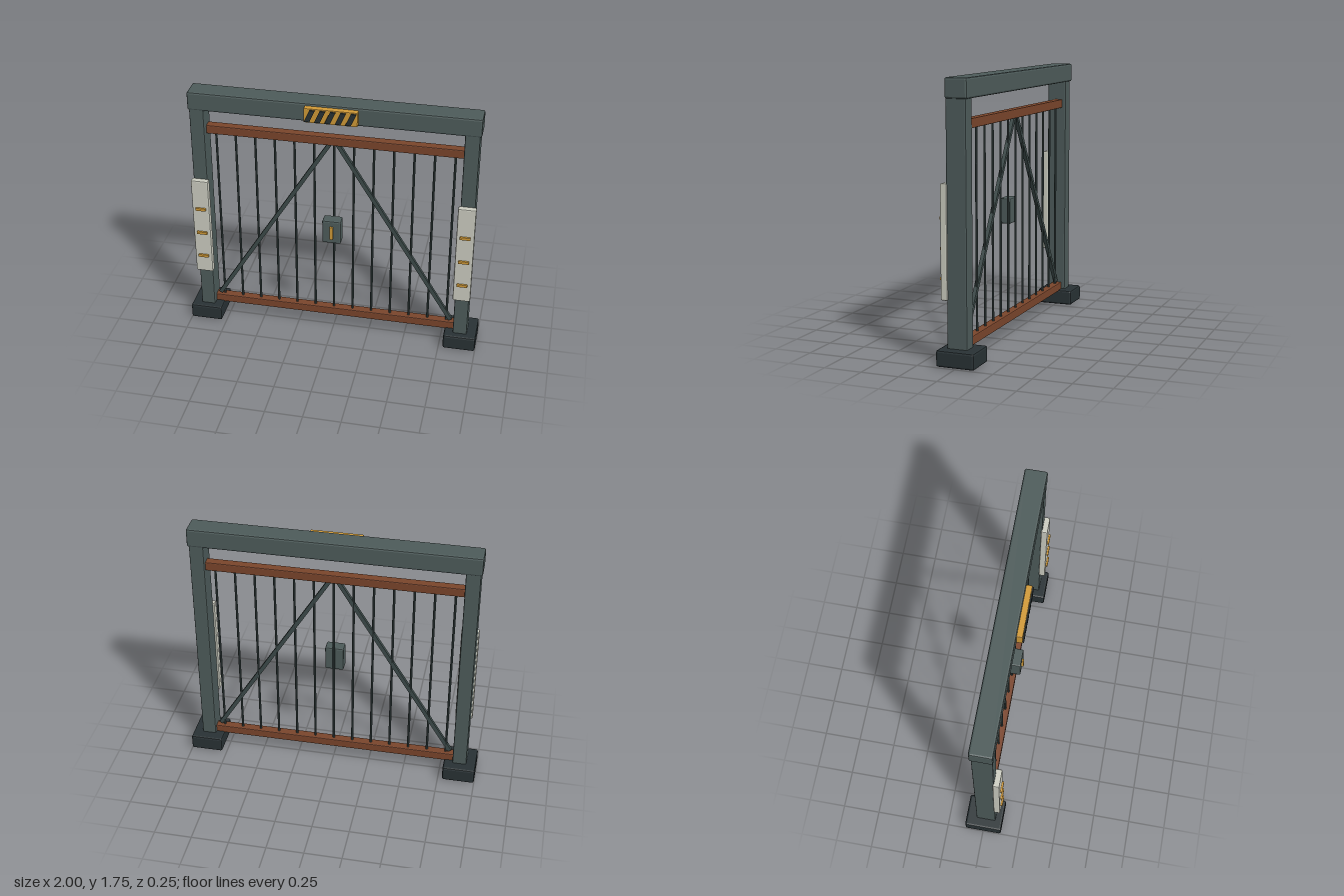
import * as THREE from 'three';
import { RoundedBoxGeometry } from 'three/addons/geometries/RoundedBoxGeometry.js';

const paint = (color) => new THREE.MeshStandardMaterial({ color, flatShading: true });

export function createModel() {
  const model = new THREE.Group();
  const frame = paint(0x4d5b5a);
  const dark = paint(0x283134);
  const bars = paint(0x3c4a49);
  const wood = paint(0x7a452b);
  const cream = paint(0xcbccc0);
  const amber = paint(0xd19a36);

  // Chamfered block given by its extents on each axis
  function block(name, mat, [x0, x1], [y0, y1], [z0, z1], bevel, parent = model) {
    const geo = new RoundedBoxGeometry(x1 - x0, y1 - y0, z1 - z0, 1, bevel);
    const mesh = new THREE.Mesh(geo, mat);
    mesh.position.set((x0 + x1) / 2, (y0 + y1) / 2, (z0 + z1) / 2);
    mesh.name = name;
    parent.add(mesh);
    return mesh;
  }

  // Top beam
  block('topBeam', frame, [-0.945, 0.945], [1.626, 1.752], [-0.067, 0.08], 0.012);

  // Posts with feet, front panels and marker ticks
  for (const side of [1, -1]) {
    const group = new THREE.Group();
    group.name = side > 0 ? 'leftPost' : 'rightPost';
    model.add(group);
    const span = (a, b) => (side > 0 ? [a, b] : [-b, -a]);
    block('post', frame, span(0.84, 0.935), [0, 1.64], [-0.056, 0.077], 0.008, group);
    block('foot', dark, span(0.78, 1), [0.004, 0.108], [-0.126, 0.126], 0.013, group);
    block('panel', cream, span(0.828, 0.945), [0.405, 1.12], [0.07, 0.114], 0.008, group);
    for (const y of [0.535, 0.72, 0.906]) {
      block('panelTick', amber, span(0.851, 0.921), [y - 0.01, y + 0.01], [0.105, 0.127], 0.003, group);
    }
  }

  // Gate rails
  block('topRail', wood, [-0.845, 0.845], [1.44, 1.5], [-0.03, 0.03], 0.006);
  block('bottomRail', wood, [-0.845, 0.845], [0.1, 0.157], [-0.03, 0.03], 0.006);

  // Vertical bars
  const barGeo = new THREE.CylinderGeometry(0.008, 0.008, 1.32, 8);
  for (let i = -6; i <= 6; i++) {
    const bar = new THREE.Mesh(barGeo, bars);
    bar.name = 'gateBar';
    bar.position.set(i * 0.1307, 0.8, 0);
    model.add(bar);
  }

  // Diagonal braces
  for (const side of [1, -1]) {
    const low = new THREE.Vector2(0.812 * side, 0.168);
    const high = new THREE.Vector2(0.018 * side, 1.455);
    const brace = new THREE.Mesh(new THREE.BoxGeometry(0.027, low.distanceTo(high), 0.024), bars);
    brace.name = 'diagonalBrace';
    brace.position.set((low.x + high.x) / 2, (low.y + high.y) / 2, 0.005);
    brace.rotation.z = Math.atan2(low.x - high.x, high.y - low.y);
    model.add(brace);
  }

  // Lock box with handle
  block('lockBox', frame, [-0.063, 0.063], [0.735, 0.905], [0.012, 0.092], 0.01);
  block('lockHandle', amber, [-0.011, 0.011], [0.77, 0.866], [0.085, 0.105], 0.004);

  // Warning plate with slanted stripes
  block('warningPlate', amber, [-0.172, 0.172], [1.638, 1.737], [0.075, 0.117], 0.005);
  const stripe = new THREE.Shape([[-0.037, -0.041], [-0.001, -0.041], [0.035, 0.041], [-0.001, 0.041]]
    .map(([x, y]) => new THREE.Vector2(x, y)));
  const stripeGeo = new THREE.ExtrudeGeometry(stripe, { depth: 0.016, bevelEnabled: false });
  for (let i = -2; i <= 2; i++) {
    const mesh = new THREE.Mesh(stripeGeo, dark);
    mesh.name = 'warningStripe';
    mesh.position.set(i * 0.066, 1.688, 0.11);
    model.add(mesh);
  }

  return model;
}
